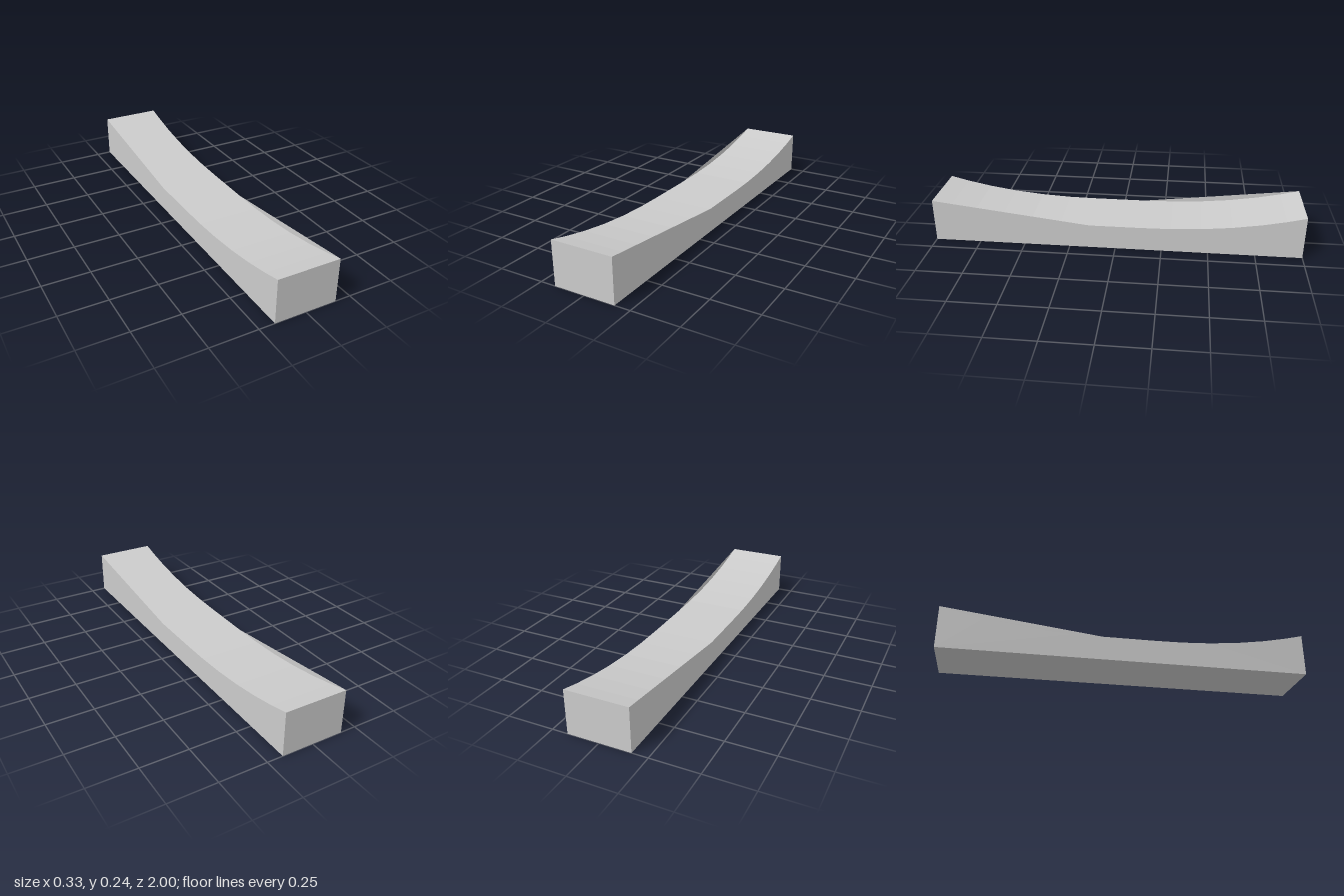
import * as THREE from 'three';

const HALF_WIDTH = 0.167;
const LOW = 0.133;
const HIGH = 0.236;
const FLAT = 0.14;

// Height of the dished top at distance d from the middle
const topHeight = (d) => LOW + (HIGH - LOW) * Math.pow(Math.max(0, d - FLAT) / (1 - FLAT), 2.25);

// Facet positions from the flat middle out to one end
const steps = [FLAT, 0.3, 0.46, 0.62, 0.77, 0.9, 1];
const arc = steps.map((d) => new THREE.Vector2(d, topHeight(d)));

export function createModel() {
  const group = new THREE.Group();
  group.name = 'curvedBlock';
  const material = new THREE.MeshStandardMaterial({
    color: 0xcccccc, flatShading: true, side: THREE.DoubleSide,
  });

  // Block with a concave top: side profile drawn in (z, y), extruded across x
  const mirrored = arc.map((p) => new THREE.Vector2(-p.x, p.y));
  const profile = new THREE.Shape([
    new THREE.Vector2(-1, 0),
    new THREE.Vector2(1, 0),
    ...[...arc].reverse(),
    ...mirrored,
  ]);
  const bodyGeometry = new THREE.ExtrudeGeometry(profile, { depth: 2 * HALF_WIDTH, bevelEnabled: false });
  bodyGeometry.translate(0, 0, -HALF_WIDTH).rotateY(-Math.PI / 2);
  const body = new THREE.Mesh(bodyGeometry, material);
  body.name = 'body';
  group.add(body);

  // Thin straight-topped lips at diagonally opposite halves of the two sides
  const lipGeometry = new THREE.ShapeGeometry(new THREE.Shape(arc));
  lipGeometry.rotateY(-Math.PI / 2).translate(HALF_WIDTH, 0, 0);
  ['frontLip', 'backLip'].forEach((name, i) => {
    const lip = new THREE.Mesh(lipGeometry, material);
    lip.name = name;
    lip.rotation.y = i * Math.PI;
    group.add(lip);
  });

  return group;
}
